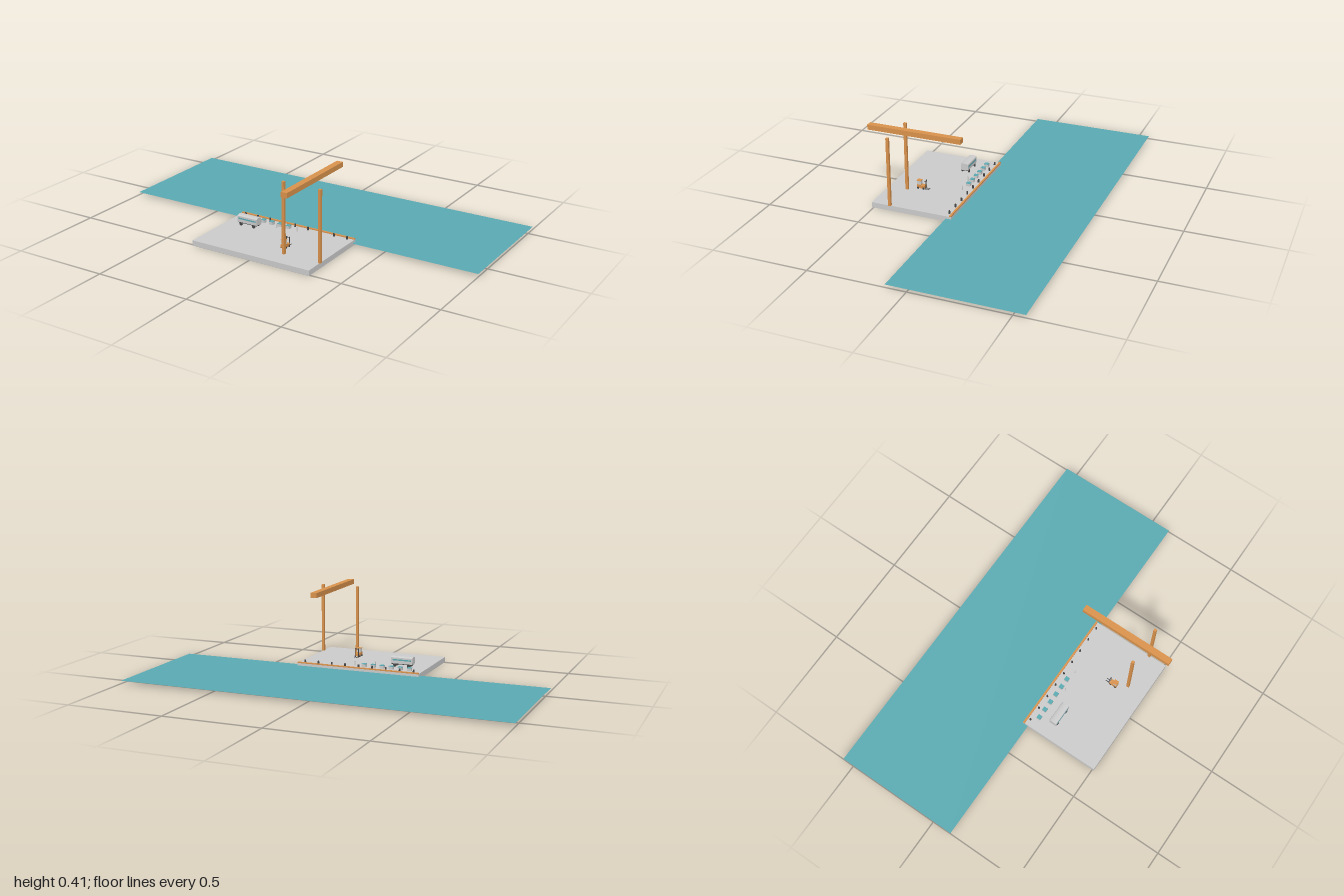
import * as THREE from 'three';

const mat = (color) => new THREE.MeshStandardMaterial({ color });
const grey = mat(0xcccccc);
const orange = mat(0xd9924c);
const teal = mat(0x5aaab2);
const dark = mat(0x444444);
const DECK = 0.028;

function add(parent, name, geometry, material, x, y, z) {
  const mesh = new THREE.Mesh(geometry, material);
  mesh.name = name;
  mesh.position.set(x, y, z);
  parent.add(mesh);
  return mesh;
}

// Box given by its centre in x and z and by the height of its underside
function box(parent, name, w, h, d, material, x, y, z) {
  return add(parent, name, new THREE.BoxGeometry(w, h, d), material, x, y + h / 2, z);
}

function group(parent, name, x, y, z) {
  const g = new THREE.Group();
  g.name = name;
  g.position.set(x, y, z);
  parent.add(g);
  return g;
}

function wheels(parent, radius, width, xs, zs) {
  const geo = new THREE.CylinderGeometry(radius, radius, width, 16);
  return xs.flatMap((x) => zs.map((z) => add(parent, 'wheel', geo, dark, x, radius, z)));
}

// Wagon with a rounded roof, running along x
function wagon(parent) {
  const g = group(parent, 'wagon', -0.203, DECK, 0.209);
  box(g, 'chassis', 0.11, 0.004, 0.036, dark, 0, 0.014, 0);
  box(g, 'body', 0.116, 0.031, 0.041, grey, 0, 0.018, 0);
  const roof = new THREE.CylinderGeometry(0.0205, 0.0205, 0.116, 20, 1, false, 0, Math.PI);
  roof.rotateZ(Math.PI / 2).scale(1, 0.32, 1);
  add(g, 'roof', roof, grey, 0, 0.049, 0);
  for (const s of [-1, 1]) box(g, 'sideBand', 0.1, 0.007, 0.001, teal, 0, 0.034, s * 0.021);
  for (const w of wheels(g, 0.009, 0.004, [-0.038, 0.038], [-0.0185, 0.0185])) w.rotation.x = Math.PI / 2;
}

// Forklift facing the water
function forklift(parent) {
  const g = group(parent, 'forklift', 0.098, DECK, 0.342);
  box(g, 'chassis', 0.025, 0.015, 0.042, orange, 0, 0.005, 0.002);
  box(g, 'counterweight', 0.025, 0.004, 0.02, orange, 0, 0.02, 0.012);
  box(g, 'cab', 0.021, 0.021, 0.021, grey, 0, 0.023, 0.0115);
  box(g, 'cabRoof', 0.024, 0.002, 0.024, orange, 0, 0.044, 0.0115);
  for (const s of [-1, 1]) {
    box(g, 'mast', 0.003, 0.049, 0.003, dark, s * 0.009, 0, -0.023);
    box(g, 'fork', 0.003, 0.002, 0.021, dark, s * 0.006, 0.002, -0.034);
  }
  box(g, 'mastBar', 0.018, 0.003, 0.002, dark, 0, 0.044, -0.023);
  for (const w of wheels(g, 0.006, 0.004, [-0.012, 0.012], [-0.014, 0.016])) w.rotation.z = Math.PI / 2;
}

// Standing figure
function worker(parent, x, z, height) {
  const g = group(parent, 'worker', x, DECK, z);
  add(g, 'workerBody', new THREE.CylinderGeometry(0.0028, 0.0024, height * 0.78, 10), grey, 0, height * 0.39, 0);
  add(g, 'workerHead', new THREE.SphereGeometry(0.003, 10, 8), grey, 0, height - 0.003, 0);
}

export function createModel() {
  const model = new THREE.Group();
  model.name = 'quay';

  // Water sheet, slightly below the quay surface
  const waterMat = mat(0x5aaab2);
  waterMat.side = THREE.DoubleSide;
  add(model, 'water', new THREE.PlaneGeometry(2, 0.666).rotateX(-Math.PI / 2), waterMat, 0, 0.015, -0.227);

  // Quay slab with an edging strip along the water
  box(model, 'quaySlab', 0.667, DECK, 0.432, grey, 0, 0, 0.293);
  box(model, 'quayEdge', 0.667, 0.006, 0.01, orange, 0, DECK, 0.082);

  // Crane posts and overhead beam
  for (const x of [0.132, 0.332]) box(model, 'cranePost', 0.0135, 0.367, 0.0145, orange, x, DECK, 0.409);
  box(model, 'craneBeam', 0.033, 0.026, 0.5, orange, 0.232, 0.382, 0.31);

  // Bollards
  const bollard = new THREE.CylinderGeometry(0.004, 0.005, 0.016, 12);
  for (let i = -4; i <= 4; i++) add(model, 'bollard', bollard, dark, i * 0.075, DECK + 0.008, 0.1);

  // Row of crates with tinted lids
  for (let i = 0; i < 6; i++) {
    const x = -0.267 + i * 0.0495;
    box(model, 'crate', 0.021, 0.015, 0.021, grey, x, DECK, 0.132);
    box(model, 'crateLid', 0.022, 0.002, 0.022, teal, x, DECK + 0.015, 0.132);
  }

  worker(model, -0.07, 0.158, 0.028);
  worker(model, 0.037, 0.143, 0.026);
  wagon(model);
  forklift(model);
  return model;
}
